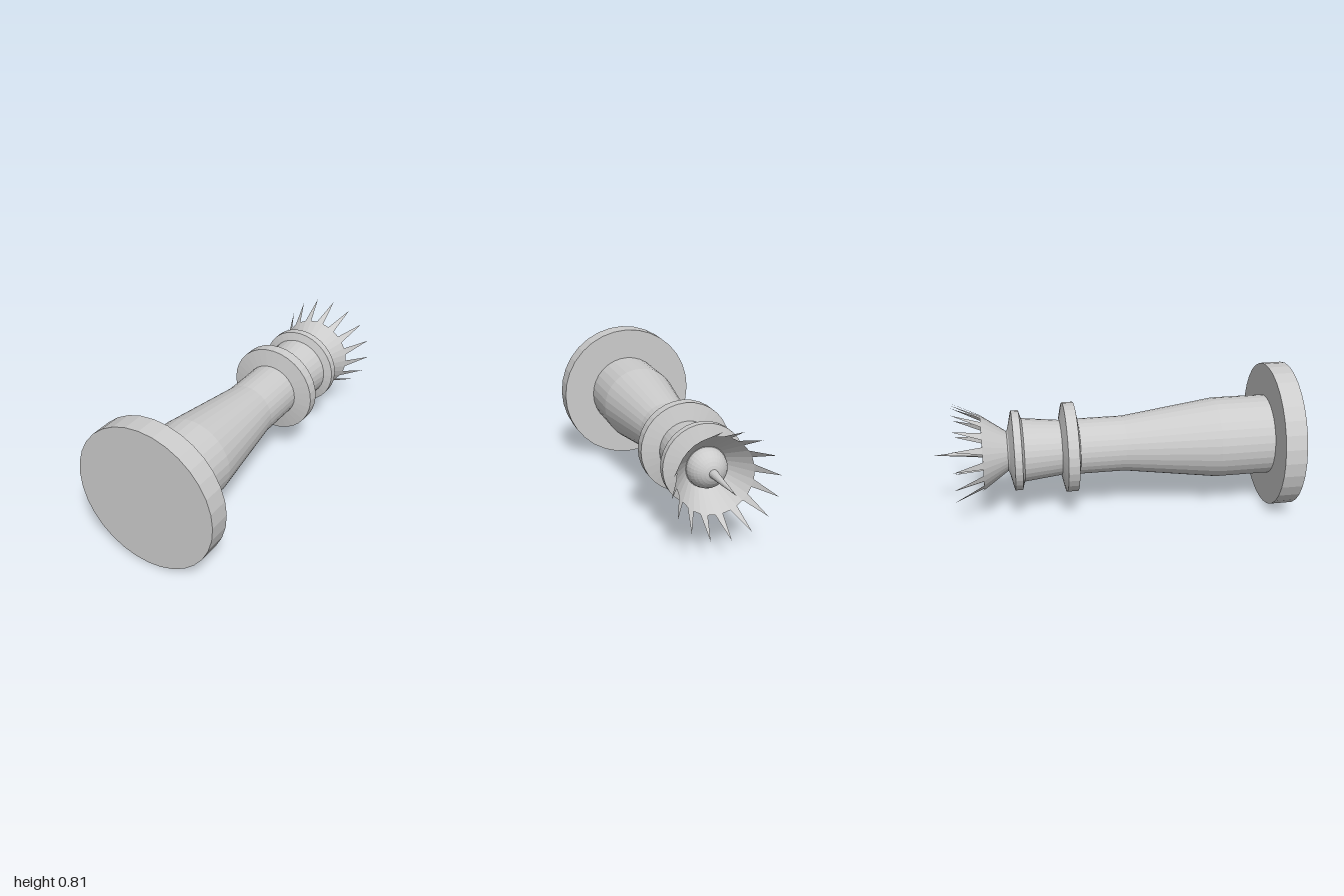
import * as THREE from 'three';

const SIDES = 32;
const material = new THREE.MeshStandardMaterial({ color: 0xcccccc, flatShading: true });
const thin = new THREE.MeshStandardMaterial({ color: 0xcccccc, flatShading: true, side: THREE.DoubleSide });

export function createModel() {
  const model = new THREE.Group();
  model.name = 'chessPiece';

  // Built upright along y, then laid down with its foot facing +z
  const piece = new THREE.Group();
  piece.name = 'lyingPiece';
  piece.rotation.x = -Math.PI / 2;
  piece.position.set(0, 0.407, 1);
  model.add(piece);

  const add = (name, geometry, mat = material) => {
    const mesh = new THREE.Mesh(geometry, mat);
    mesh.name = name;
    piece.add(mesh);
    return mesh;
  };
  // Profile points are [radius, height]
  const turned = (name, profile, mat) =>
    add(name, new THREE.LatheGeometry(profile.map(([r, h]) => new THREE.Vector2(r, h)), SIDES), mat);

  turned('base', [[0, 0], [0.405, 0], [0.405, 0.12], [0, 0.12]]);
  turned('body', [[0.225, 0.12], [0.225, 0.42], [0.155, 0.94], [0.155, 1.2]]);
  turned('lowerCollar', [[0.155, 1.195], [0.25, 1.212], [0.25, 1.273], [0.155, 1.295]]);
  turned('neck', [[0.153, 1.29], [0.177, 1.505]]);
  turned('upperCollar', [[0.177, 1.503], [0.222, 1.517], [0.222, 1.558], [0.12, 1.582], [0.11, 1.59], [0, 1.59]]);

  // Flared crown cup, open at the top
  const rimR = 0.207, rimH = 1.727, tipR = 0.284, tipH = 1.885;
  turned('crownCup', [[0.11, 1.588], [rimR, rimH]], thin);

  // Spikes rise from every other facet of the rim
  const corners = [];
  const at = (r, h, i) => {
    const a = (i / SIDES) * Math.PI * 2;
    corners.push(r * Math.sin(a), h, r * Math.cos(a));
  };
  for (let i = 0; i < SIDES; i += 2) {
    at(rimR, rimH, i);
    at(rimR, rimH, i + 1);
    at(tipR, tipH, i + 0.5);
  }
  const spikes = new THREE.BufferGeometry();
  spikes.setAttribute('position', new THREE.Float32BufferAttribute(corners, 3));
  spikes.computeVertexNormals();
  add('crownSpikes', spikes, thin);

  // Dome inside the crown, with a long needle on top
  const dome = add('dome', new THREE.SphereGeometry(0.108, SIDES, 8, 0, Math.PI * 2, 0, Math.PI / 2));
  dome.position.y = 1.59;
  const needle = add('needle', new THREE.ConeGeometry(0.025, 0.32, 16));
  needle.position.y = 1.84;

  return model;
}
